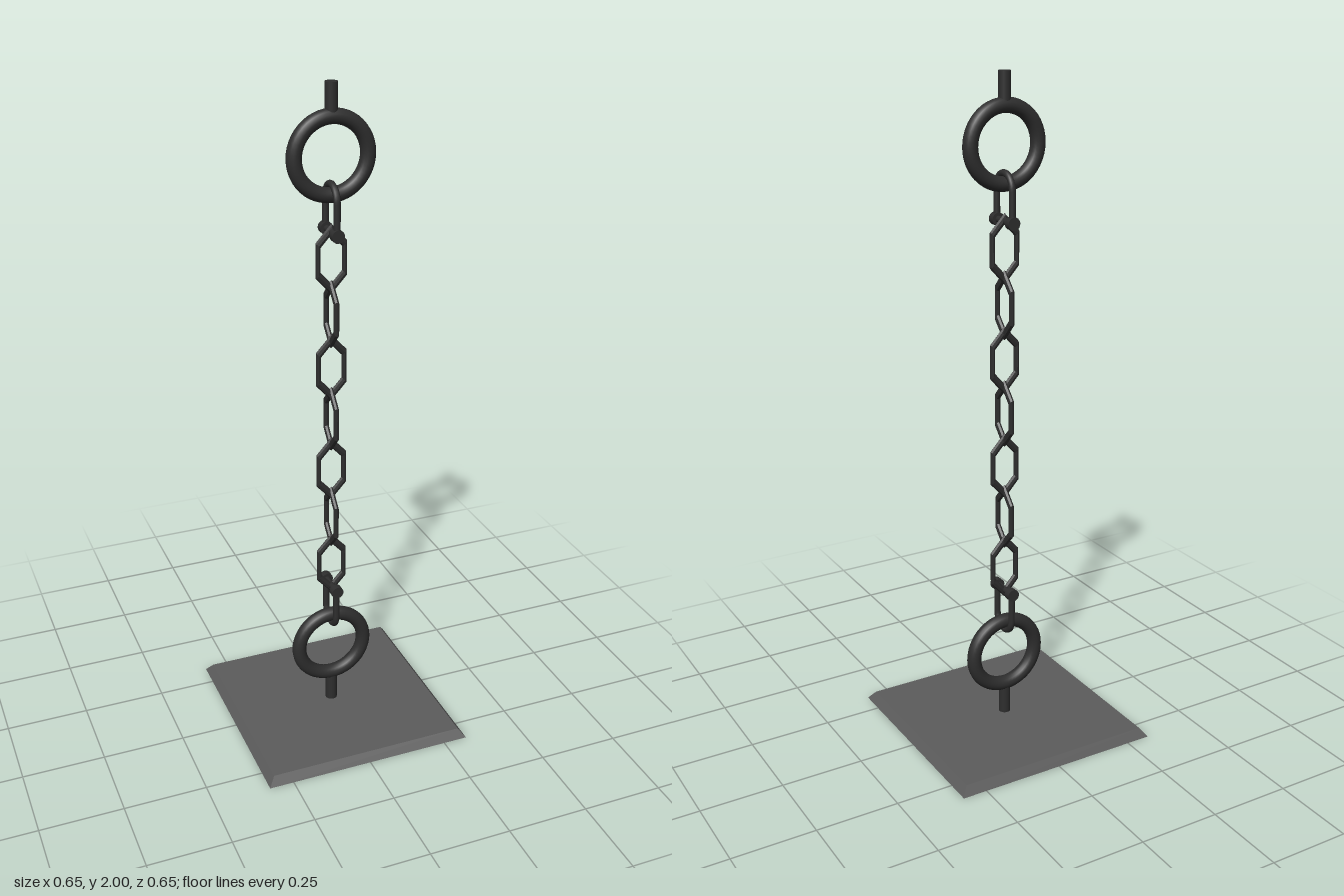
import * as THREE from 'three';

// Gives a geometry hard facets
function faceted(geometry) {
  const g = geometry.toNonIndexed();
  g.computeVertexNormals();
  return g;
}

export function createModel() {
  const model = new THREE.Group();
  const iron = new THREE.MeshStandardMaterial({ color: 0x2e2e2e });
  iron.name = 'darkIron';
  const steel = new THREE.MeshStandardMaterial({ color: 0x5c5c5c });
  steel.name = 'plateSteel';

  function add(name, geometry, material, parent = model, x = 0, y = 0, z = 0) {
    const mesh = new THREE.Mesh(geometry, material);
    mesh.name = name;
    mesh.position.set(x, y, z);
    parent.add(mesh);
    return mesh;
  }

  // Bevelled square floor plate
  const plate = new THREE.CylinderGeometry(0.305 * Math.SQRT2, 0.325 * Math.SQRT2, 0.026, 4);
  plate.rotateY(Math.PI / 4);
  add('basePlate', faceted(plate), steel, model, 0, 0.013, 0);

  // Rods and large rings at both ends
  const rod = new THREE.CylinderGeometry(0.018, 0.018, 0.095, 20);
  add('lowerRod', rod, iron, model, 0, 0.0675, 0);
  add('upperRod', rod, iron, model, 0, 1.9525, 0);
  const ring = new THREE.TorusGeometry(0.108, 0.022, 16, 48);
  add('lowerRing', ring, iron, model, 0, 0.233, 0);
  add('upperRing', ring, iron, model, 0, 1.8, 0);

  // Shackles: U bar, two eyes and a cross pin; origin at the pin
  const bend = new THREE.CurvePath();
  const arc = [];
  for (let i = 0; i <= 12; i++) {
    const a = (i / 12) * Math.PI;
    arc.push(new THREE.Vector3(0, 0.092 + 0.043 * Math.sin(a), 0.043 * Math.cos(a)));
  }
  bend.add(new THREE.LineCurve3(new THREE.Vector3(0, 0, 0.043), arc[0]));
  bend.add(new THREE.CatmullRomCurve3(arc));
  bend.add(new THREE.LineCurve3(arc[12], new THREE.Vector3(0, 0, -0.043)));
  const bar = new THREE.TubeGeometry(bend, 40, 0.01, 10);
  const eye = new THREE.CylinderGeometry(0.019, 0.019, 0.022, 20).rotateX(Math.PI / 2);
  const pin = new THREE.CylinderGeometry(0.01, 0.01, 0.1, 12).rotateX(Math.PI / 2);

  function shackle(name, y, flipped) {
    const group = new THREE.Group();
    group.name = name;
    group.position.y = y;
    if (flipped) group.rotation.z = Math.PI;
    add('shackleBar', bar, iron, group);
    add('shacklePin', pin, iron, group);
    for (const side of [-1, 1]) add('shackleEye', eye, iron, group, 0, 0, side * 0.044);
    model.add(group);
  }
  shackle('upperShackle', 1.588, false);
  shackle('lowerShackle', 0.448, true);

  // Seven elongated six-sided links, each turned a quarter from the last
  let link = new THREE.TorusGeometry(0.046, 0.0085, 8, 6);
  link.rotateZ(Math.PI / 6).scale(1, 1.89, 1);
  link = faceted(link);
  const chain = new THREE.Group();
  chain.name = 'chain';
  for (let i = 0; i < 7; i++) {
    const mesh = add('chainLink', link, iron, chain, 0, 0.526 + i * 0.1637, 0);
    if (i % 2) mesh.rotation.y = Math.PI / 2;
  }
  model.add(chain);
  return model;
}
